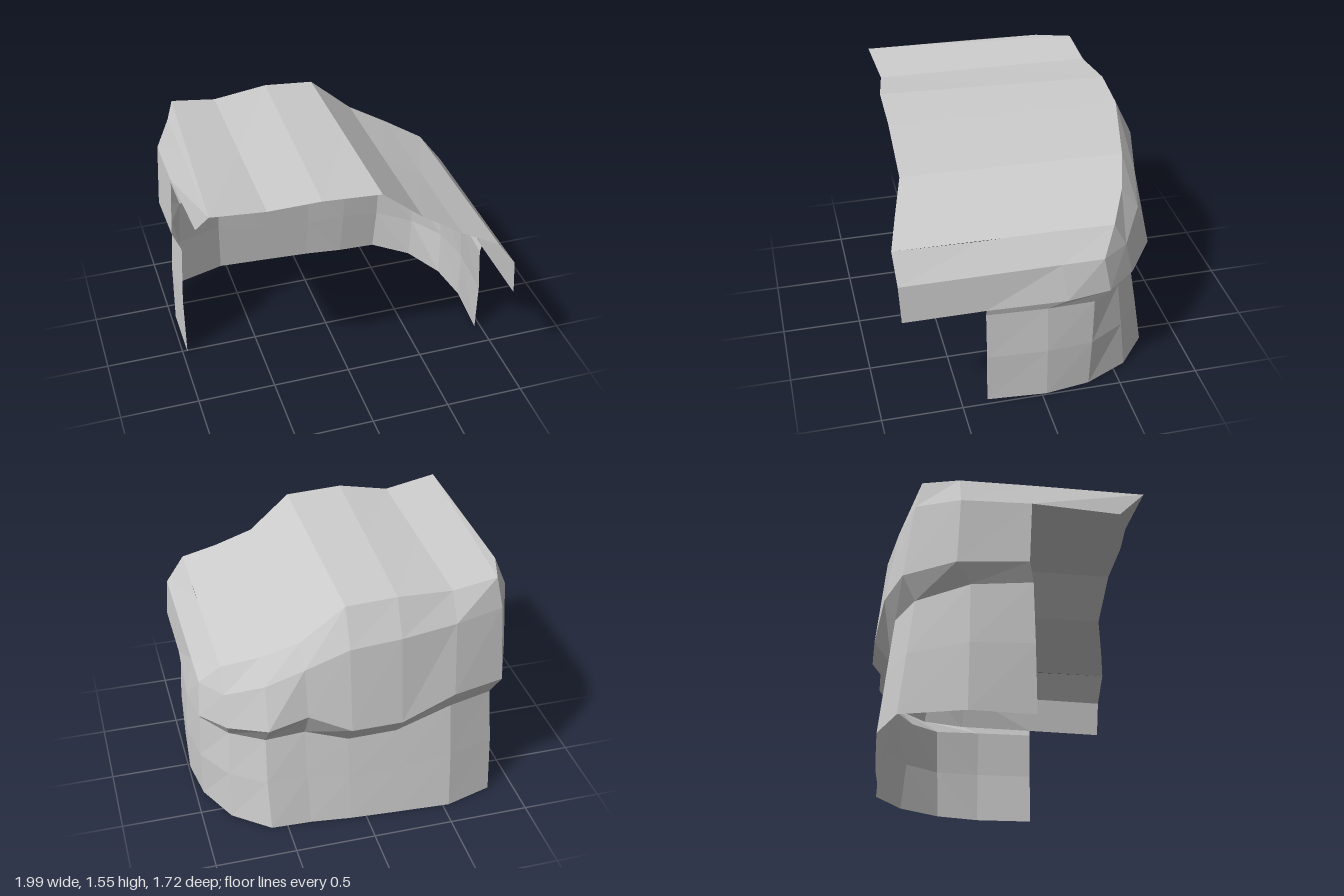
import * as THREE from 'three';

// Each ring runs from the open left end, round the back, to the open right end.
const base = [[-.97, 0, .02], [-.97, 0, -.37], [-.84, 0, -.75], [-.54, 0, -.84], [-.2, 0, -.82], [.1, 0, -.8],
  [.35, 0, -.77], [.6, 0, -.76], [.82, 0, -.58], [.95, 0, -.31], [.99, 0, -.03], [.96, 0, .34]];
const neck = [[-.95, .84, .01], [-.94, .8, -.36], [-.83, .72, -.67], [-.54, .73, -.76], [-.2, .6, -.75], [.1, .58, -.73],
  [.36, .65, -.68], [.6, .62, -.66], [.8, .61, -.52], [.94, .62, -.33], [.97, .64, -.03], [.95, .64, .34]];
const brow = [[-1, .95, -.02], [-1, .91, -.45], [-.87, .86, -.75], [-.54, .86, -.83], [-.2, .74, -.86], [.11, .73, -.85],
  [.36, .83, -.78], [.6, .76, -.77], [.82, .71, -.6], [.96, .7, -.42], [.99, .69, -.15], [.96, .68, .34], [.96, .68, .84]];
const shoulder = [[-.98, 1.36, 0], [-.98, 1.34, -.43], [-.86, 1.34, -.69], [-.55, 1.32, -.76], [-.2, 1.3, -.8], [.11, 1.27, -.79],
  [.37, 1.14, -.74], [.6, 1.03, -.69], [.82, .92, -.55], [.94, .92, -.38], [.94, .92, -.12], [.94, .92, .34], [.94, .92, .85]];
const eave = [[-.9, 1.54, 0], [-.9, 1.53, -.43], [-.83, 1.53, -.65], [-.55, 1.49, -.66], [-.2, 1.52, -.69], [.11, 1.5, -.68],
  [.37, 1.28, -.65], [.6, 1.17, -.58], [.82, 1.07, -.47], [.82, 1.07, -.47], [.82, 1.08, -.12], [.82, 1.08, .34], [.82, 1.09, .86]];
const roofFront = [[-.9, 1.55, .72], [-.9, 1.55, .72], [-.56, 1.5, .69], [-.25, 1.54, .74], [.11, 1.52, .745],
  [.37, 1.3, .73], [.6, 1.18, .8], [.82, 1.09, .86]];

const mix = (a, b, t) => a.map((p, i) => p.map((v, k) => v + (b[i][k] - v) * t));

// Faceted skin between successive rows of points
function loft(name, rows, material) {
  const pos = [];
  for (let r = 0; r < rows.length - 1; r++) {
    const low = rows[r], up = rows[r + 1];
    for (let i = 0; i < Math.min(low.length, up.length) - 1; i++) {
      const a = low[i], b = low[i + 1], c = up[i + 1], d = up[i];
      const same = (p, q) => p.every((v, k) => v === q[k]);
      if (!same(a, b)) pos.push(...b, ...a, ...d);
      if (!same(c, d)) pos.push(...b, ...d, ...c);
    }
  }
  const geometry = new THREE.BufferGeometry();
  geometry.setAttribute('position', new THREE.Float32BufferAttribute(pos, 3));
  geometry.computeVertexNormals();
  const mesh = new THREE.Mesh(geometry, material);
  mesh.name = name;
  return mesh;
}

export function createModel() {
  const group = new THREE.Group();
  group.name = 'shelter';
  const grey = new THREE.MeshStandardMaterial({ color: 0xcccccc, flatShading: true, side: THREE.DoubleSide });
  grey.name = 'light grey';

  // Lower wall, bowed out slightly halfway up
  const middle = mix(base, neck, 0.52).map(([x, y, z]) => [x * 1.012, y, z]);
  group.add(loft('lowerWall', [base, middle, neck], grey));

  // Slanted underside joining the lower wall to the overhanging brow
  group.add(loft('browUnderside', [neck, brow], grey));

  // Upper wall, with the low right side carried on to the front edge
  group.add(loft('upperWall', [brow, shoulder, eave], grey));

  // Roof sheet running forward from the back eave
  const roofBack = eave.slice(1, 9);
  group.add(loft('roof', [roofBack, mix(roofBack, roofFront, 0.5), roofFront], grey));

  // Short flap hanging from the high side of the roof
  group.add(loft('sideFlap', [[[-.95, 1.36, .55], shoulder[0]], [roofFront[0], eave[0]]], grey));

  return group;
}
